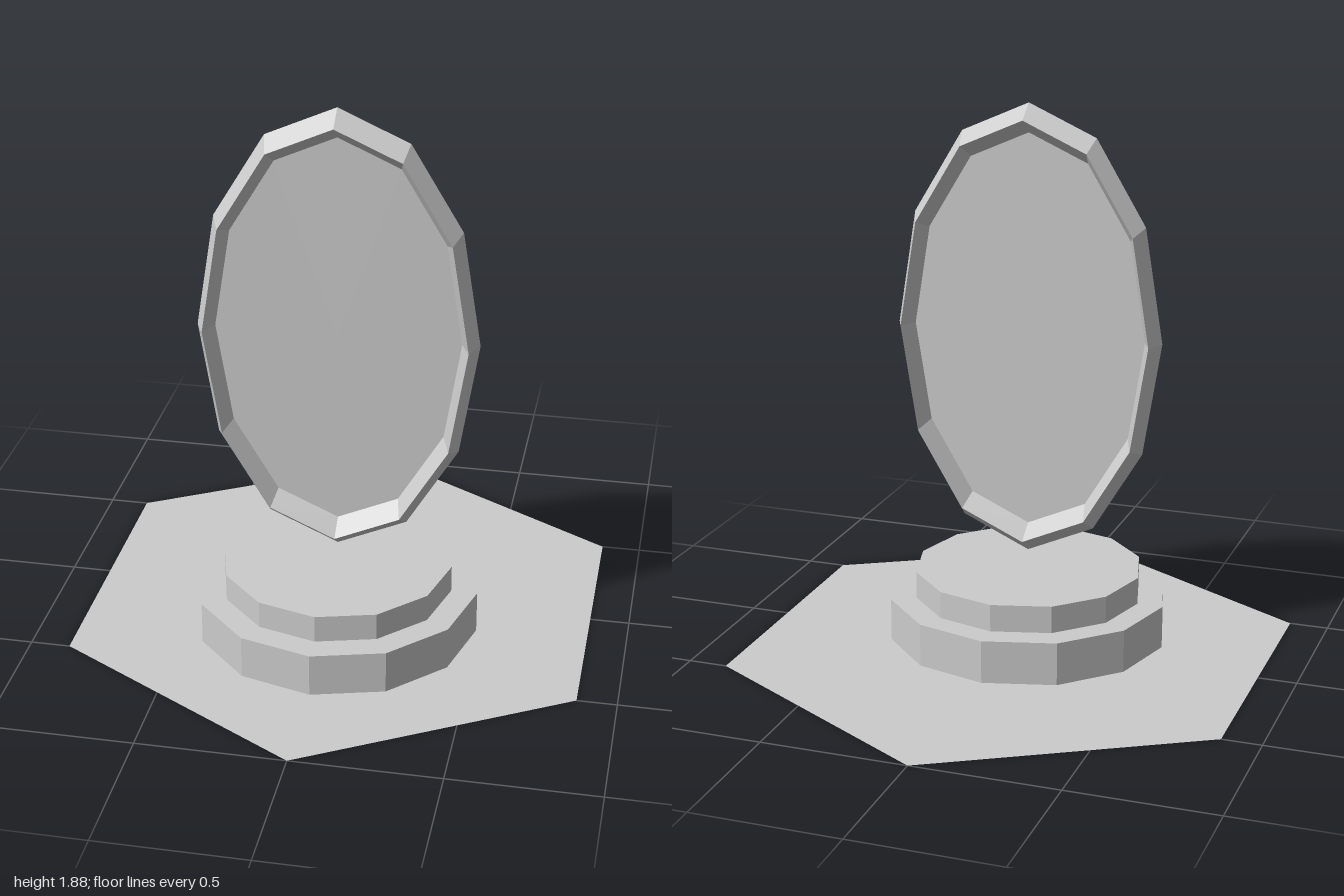
import * as THREE from 'three';

const CENTRE_Z = 0.145;

export function createModel() {
  const group = new THREE.Group();
  const solid = new THREE.MeshStandardMaterial({ color: 0xcccccc, flatShading: true });
  const sheet = new THREE.MeshStandardMaterial({ color: 0xcccccc, flatShading: true, side: THREE.DoubleSide });

  function add(parent, name, geometry, material, x = 0, y = 0, z = 0) {
    const mesh = new THREE.Mesh(geometry, material);
    mesh.name = name;
    mesh.position.set(x, y, z);
    parent.add(mesh);
    return mesh;
  }

  // Flat hexagonal ground plate with corners at front and back
  const plate = new THREE.CircleGeometry(1, 6, Math.PI / 2).rotateX(-Math.PI / 2);
  add(group, 'groundPlate', plate, sheet);

  // Two stacked twelve-sided pedestal steps
  const steps = [
    ['lowerStep', 0.488, 0, 0.15],
    ['upperStep', 0.398, 0.15, 0.245],
  ];
  for (const [name, radius, bottom, top] of steps) {
    const step = new THREE.CylinderGeometry(radius, radius, top - bottom, 12);
    add(group, name, step, solid, -0.003, (bottom + top) / 2, CENTRE_Z - 0.002);
  }

  // Floating oval mirror: diamond-section frame around a thin pane
  const mirror = new THREE.Group();
  mirror.name = 'mirror';
  mirror.position.set(0, 1.088, CENTRE_Z);
  mirror.scale.set(0.6, 1, 1);
  group.add(mirror);
  const frame = new THREE.TorusGeometry(0.737, 0.05, 4, 12).scale(1, 1, 1.32);
  add(mirror, 'mirrorFrame', frame, solid);
  add(mirror, 'mirrorPane', new THREE.CircleGeometry(0.69, 12), sheet);

  return group;
}
